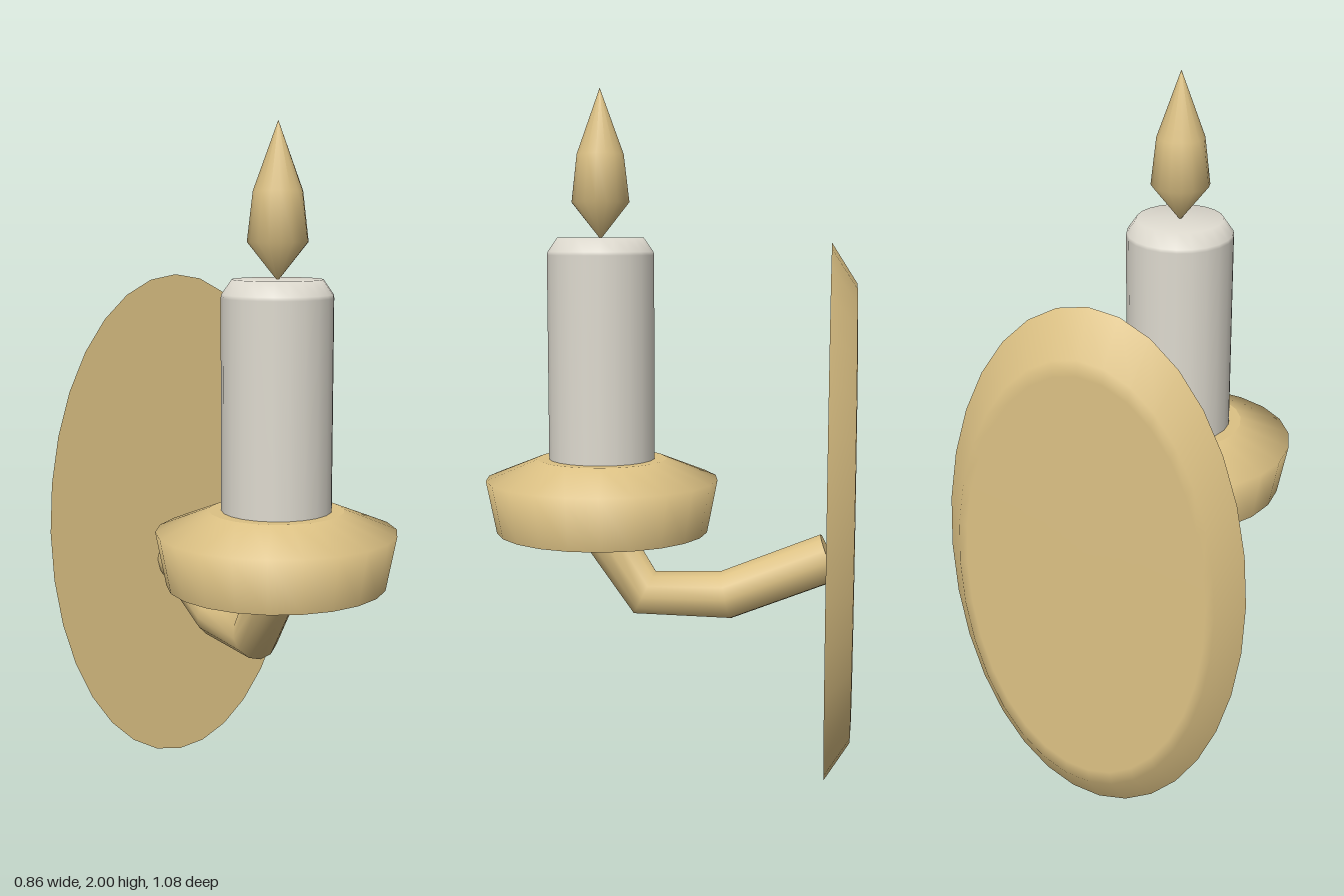
import * as THREE from 'three';

// Turned part; a repeated profile point makes a hard edge
function turned(name, profile, sides, material) {
  const points = profile.map(([r, y]) => new THREE.Vector2(r, y));
  const mesh = new THREE.Mesh(new THREE.LatheGeometry(points, sides), material);
  mesh.name = name;
  return mesh;
}

export function createModel() {
  const gold = new THREE.MeshStandardMaterial({ color: 0xdcc184 });
  gold.name = 'gold';
  const wax = new THREE.MeshStandardMaterial({ color: 0xdedacf });
  wax.name = 'wax';

  const model = new THREE.Group();
  model.name = 'wallSconce';

  // Oval wall plate, bevelled towards the wall
  const plate = turned('wallPlate', [
    [0, -0.54], [0.345, -0.54], [0.369, -0.538], [0.432, -0.465], [0.432, -0.465], [0, -0.465],
  ], 32, gold);
  plate.geometry.rotateX(Math.PI / 2).scale(1, 0.7825 / 0.432, 1);
  plate.position.y = 0.7825;
  model.add(plate);

  // Bent arm: one ring of vertices at each bend
  const path = [[0.725, 0.193], [0.54, 0.07], [0.54, -0.172], [0.66, -0.471]]
    .map(([y, z]) => new THREE.Vector3(0, y, z));
  const curve = new THREE.CatmullRomCurve3(path, false, 'catmullrom', 0.5);
  curve.getPointAt = curve.getPoint;
  curve.getTangentAt = curve.getTangent;
  const arm = new THREE.Mesh(new THREE.TubeGeometry(curve, 3, 0.072, 12), gold);
  arm.name = 'arm';
  model.add(arm);

  // Discs closing both ends of the arm
  for (const [end, next] of [[0, 1], [3, 2]]) {
    const cap = new THREE.Mesh(new THREE.CircleGeometry(0.072, 12), gold);
    cap.name = 'armEnd';
    cap.position.copy(path[end]);
    cap.lookAt(path[end].clone().multiplyScalar(2).sub(path[next]));
    model.add(cap);
  }

  // Drip dish, candle and flame share one axis
  const light = new THREE.Group();
  light.name = 'candleHolder';
  light.position.z = 0.196;
  light.add(
    turned('dripDish', [
      [0, 0.725], [0.31, 0.725], [0.31, 0.725], [0.34, 0.88], [0.19, 0.94], [0.19, 0.94], [0, 0.94],
    ], 22, gold),
    turned('candle', [
      [0, 0.93], [0.155, 0.93], [0.155, 0.93], [0.155, 1.53], [0.153, 1.54], [0.125, 1.58], [0, 1.58],
    ], 22, wax),
    turned('flame', [
      [0, 1.575], [0.084, 1.68], [0.068, 1.815], [0, 2],
    ], 16, gold),
  );
  model.add(light);
  return model;
}
